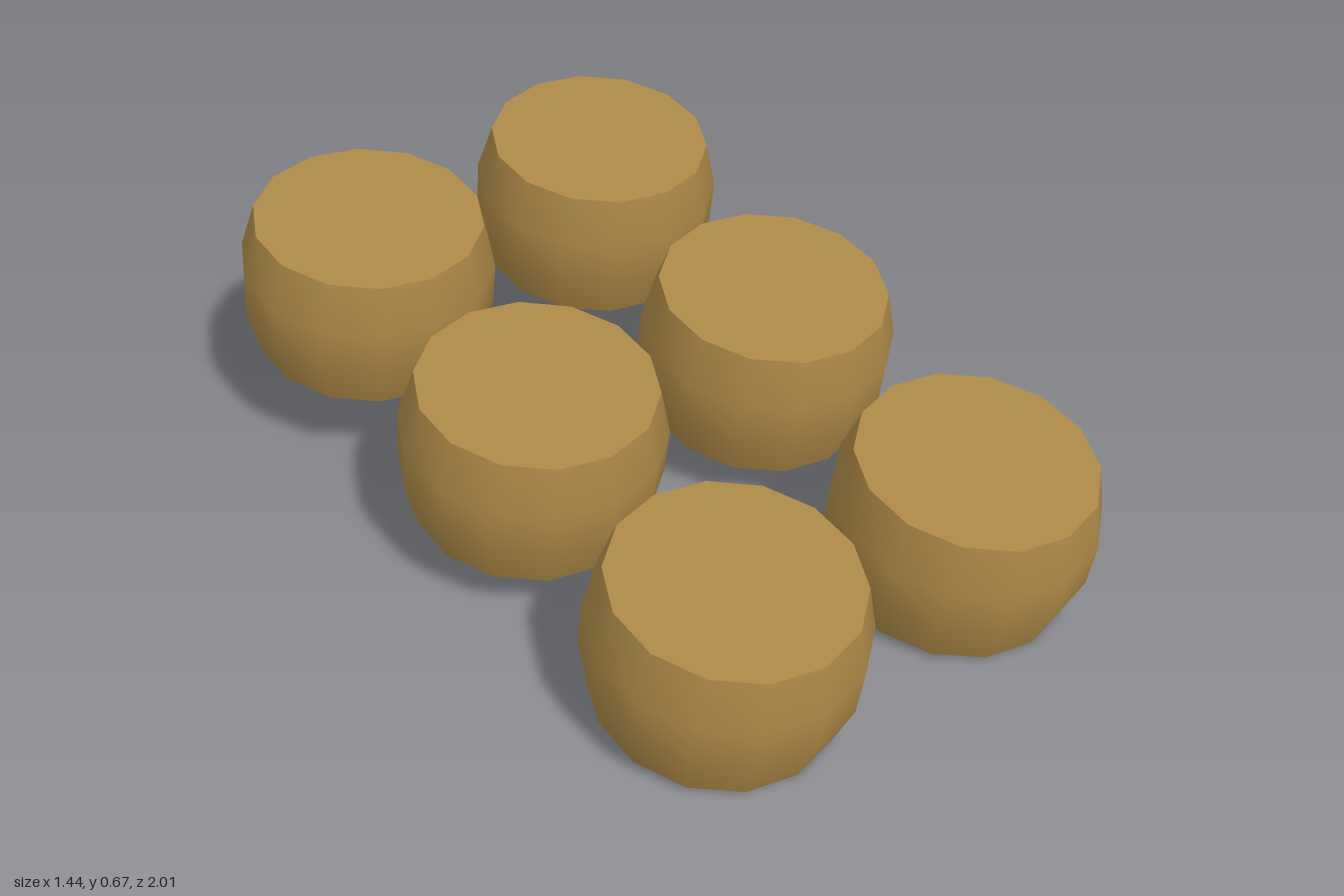
import * as THREE from 'three';

const SIDES = 14;
const CAP_RADIUS = 0.285;
const BELLY_RADIUS = 0.318;
const HALF_HEIGHT = 0.182;
const BELLY_HALF = 0.06;

// Surface of revolution, profile running from bottom to top
function revolve(points) {
  return new THREE.LatheGeometry(points.map(([r, y]) => new THREE.Vector2(r, y)), SIDES);
}

export function createModel() {
  const model = new THREE.Group();
  model.name = 'stubbyBarrels';

  const tan = new THREE.MeshStandardMaterial({ color: 0xab8847 });
  tan.name = 'tan';

  // Bulging wall with smooth normals, and flat caps with a sharp rim
  const parts = {
    wall: revolve([
      [CAP_RADIUS, -HALF_HEIGHT],
      [BELLY_RADIUS, -BELLY_HALF],
      [BELLY_RADIUS, BELLY_HALF],
      [CAP_RADIUS, HALF_HEIGHT],
    ]),
    topCap: revolve([[CAP_RADIUS, HALF_HEIGHT], [0, HALF_HEIGHT]]),
    bottomCap: revolve([[0, -HALF_HEIGHT], [CAP_RADIUS, -HALF_HEIGHT]]),
  };

  // Two columns of three, climbing towards the back and leaning forward
  const columns = [
    { name: 'right', x: -0.345, roll: -0.035 },
    { name: 'left', x: 0.343, roll: -0.015 },
  ];
  const rows = ['Back', 'Middle', 'Front'];

  for (const column of columns) {
    rows.forEach((row, i) => {
      const step = i - 1;
      const barrel = new THREE.Group();
      barrel.name = `${column.name}${row}Barrel`;
      barrel.position.set(column.x + 0.061 * step, 0.342 - 0.118 * step, 0.68 * step);
      barrel.rotation.set(0.13, 0.05, column.roll);
      for (const [name, geometry] of Object.entries(parts)) {
        const mesh = new THREE.Mesh(geometry, tan);
        mesh.name = name;
        barrel.add(mesh);
      }
      model.add(barrel);
    });
  }

  return model;
}
